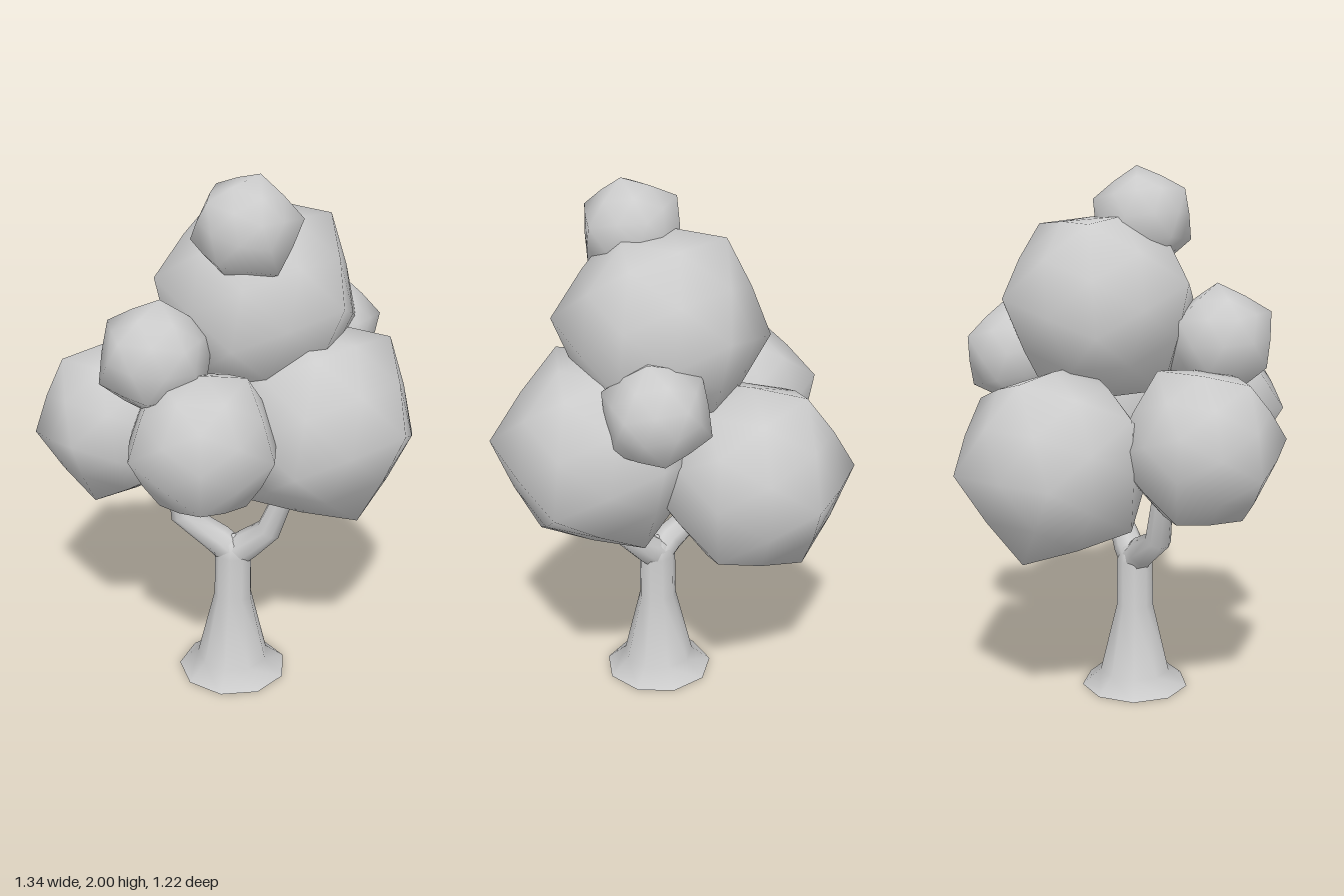
import * as THREE from 'three';
import { mergeVertices } from 'three/addons/utils/BufferGeometryUtils.js';

const PHI = (1 + Math.sqrt(5)) / 2;
const V = (a) => new THREE.Vector3(...a);
const material = new THREE.MeshStandardMaterial({ color: 0xcccccc });
const openMaterial = new THREE.MeshStandardMaterial({ color: 0xcccccc, side: THREE.DoubleSide });

// Tapered open limb: smooth loft through [x, y, z, radius] stations
function limb(name, stations, sides) {
  const pts = stations.map((s) => V(s.slice(0, 3)));
  const positions = [], index = [];
  stations.forEach((s, k) => {
    const dir = pts[Math.min(k + 1, pts.length - 1)].clone().sub(pts[Math.max(k - 1, 0)]).normalize();
    const u = new THREE.Vector3().crossVectors(dir, V([0, 0, 1])).normalize();
    const v = new THREE.Vector3().crossVectors(dir, u);
    for (let i = 0; i < sides; i++) {
      const a = (i / sides) * Math.PI * 2;
      const p = pts[k].clone().addScaledVector(u, s[3] * Math.cos(a)).addScaledVector(v, s[3] * Math.sin(a));
      positions.push(p.x, p.y, p.z);
      if (k === stations.length - 1) continue;
      const a0 = k * sides + i, b0 = k * sides + ((i + 1) % sides);
      index.push(a0, b0, a0 + sides, b0, b0 + sides, a0 + sides);
    }
  });
  const geometry = new THREE.BufferGeometry();
  geometry.setAttribute('position', new THREE.Float32BufferAttribute(positions, 3));
  geometry.setIndex(index);
  geometry.computeVertexNormals();
  const mesh = new THREE.Mesh(geometry, openMaterial);
  mesh.name = name;
  return mesh;
}

// Leaf clump: icosahedron with slightly swollen faces and smooth normals
function clumpGeometry() {
  let g = new THREE.IcosahedronGeometry(1, 1);
  g.deleteAttribute('normal');
  g.deleteAttribute('uv');
  g = mergeVertices(g, 1e-3);
  const pos = g.attributes.position;
  for (let i = 0; i < pos.count; i++) {
    const p = new THREE.Vector3().fromBufferAttribute(pos, i);
    const isCorner = p.toArray().filter((c) => Math.abs(c) < 1e-3).length === 1;
    if (!isCorner) p.multiplyScalar(0.875);
    pos.setXYZ(i, p.x, p.y, p.z);
  }
  g.computeVertexNormals();
  return g;
}

// Basis spanned by two neighbouring corner directions
function cornerBasis(a, b) {
  const A = V(a).normalize(), B = V(b).normalize();
  const x = A.clone().add(B).normalize();
  const z = A.clone().cross(B).normalize();
  return new THREE.Matrix4().makeBasis(x, z.clone().cross(x), z);
}

export function createModel() {
  const tree = new THREE.Group();
  tree.name = 'tree';

  // Trunk with flared, hollow foot
  tree.add(limb('trunk', [
    [0.01, 0, 0.125, 0.207], [0.01, 0.06, 0.125, 0.135], [0.01, 0.33, 0.125, 0.071],
    [0.012, 0.51, 0.125, 0.07], [0.012, 0.56, 0.125, 0.048], [0.012, 0.59, 0.125, 0.001],
  ], 9));

  // Forked branches
  tree.add(limb('rightBranch', [
    [0.02, 0.5, 0.13, 0.06], [-0.04, 0.56, 0.095, 0.058], [-0.155, 0.645, 0.02, 0.05], [-0.19, 0.92, 0.01, 0.034],
  ], 8));
  tree.add(limb('leftBranch', [
    [0.005, 0.5, 0.12, 0.06], [0.055, 0.55, 0.15, 0.058], [0.125, 0.63, 0.2, 0.048], [0.19, 0.85, 0.25, 0.036],
  ], 8));

  // Foliage: centre, radius, and two neighbouring corner directions
  const tiltA = [0.97, 0.26, PHI], tiltB = [-0.97, -0.26, PHI];
  const clumps = [
    ['frontLeftClump', [0.295, 1.075, 0.22], 0.395, tiltA, tiltB],
    ['topClump', [0.12, 1.5, 0.05], 0.395, tiltA, tiltB],
    ['backClump', [0.1, 0.975, -0.285], 0.385, [1, 0, PHI], [-1, 0, PHI]],
    ['rightClump', [-0.37, 1.05, -0.05], 0.32, [-0.08, 0.1, -0.29], [-0.28, -0.06, -0.09]],
    ['frontRightClump', [-0.175, 1.11, 0.36], 0.29, [0.133, 0.23, 0.043], [-0.133, 0.23, -0.043]],
    ['upperRightClump', [-0.3, 1.385, 0.215], 0.213, [0.02, 0.19, 0], [-0.15, 0.1, 0.1]],
    ['upperLeftClump', [0.43, 1.31, -0.06], 0.203, [0.05, 0.19, 0.01], [0.18, 0.04, 0.03]],
    ['crownClump', [0.03, 1.81, 0.2], 0.2, [0.04, 0.19, 0.01], [-0.01, 0.06, 0.19]],
  ];
  const geometry = clumpGeometry();
  const source = cornerBasis([0, 1, PHI], [0, -1, PHI]).invert();
  for (const [name, centre, radius, a, b] of clumps) {
    const mesh = new THREE.Mesh(geometry, material);
    mesh.name = name;
    mesh.quaternion.setFromRotationMatrix(cornerBasis(a, b).multiply(source));
    mesh.position.set(...centre);
    mesh.scale.setScalar(radius);
    tree.add(mesh);
  }
  return tree;
}
